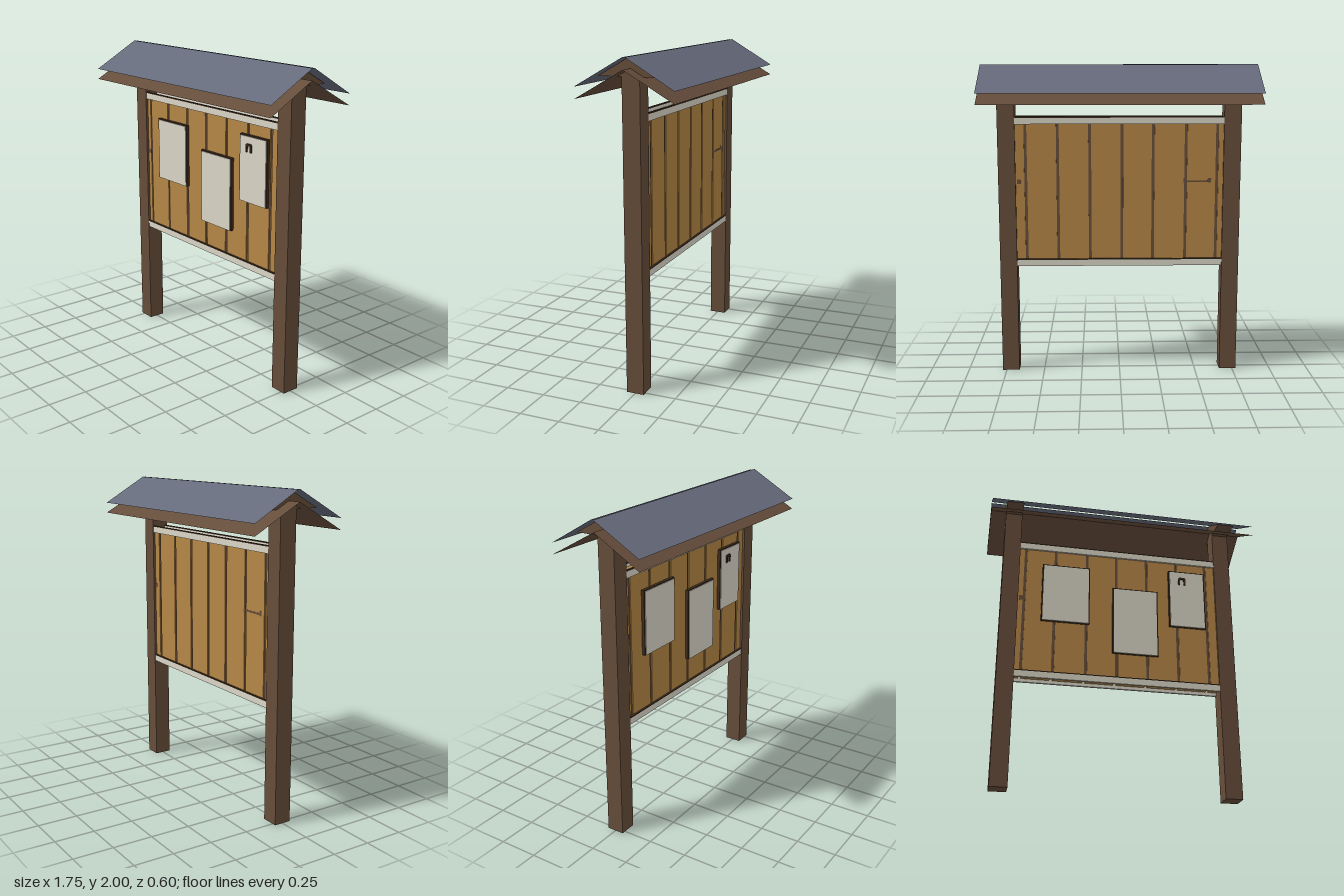
import * as THREE from 'three';

const mat = (name, color, side = THREE.FrontSide) => {
  const m = new THREE.MeshStandardMaterial({ color, side });
  m.name = name;
  return m;
};

export function createModel() {
  const timber = mat('brown timber', 0x664d3a);
  const sheet = mat('brown roof lining', 0x664d3b, THREE.DoubleSide);
  const slate = mat('slate roofing', 0x666b7c, THREE.DoubleSide);
  const board = mat('ochre board', 0xb58645);
  const cream = mat('cream', 0xdad5c7);
  const dark = mat('dark edge', 0x3c2b1e);

  const model = new THREE.Group();
  model.name = 'noticeBoard';

  const add = (name, geometry, material) => {
    const mesh = new THREE.Mesh(geometry, material);
    mesh.name = name;
    model.add(mesh);
    return mesh;
  };
  // box given by its limits on each axis
  const box = (name, material, x0, x1, y0, y1, z0, z1) => {
    const mesh = add(name, new THREE.BoxGeometry(x1 - x0, y1 - y0, z1 - z0), material);
    mesh.position.set((x0 + x1) / 2, (y0 + y1) / 2, (z0 + z1) / 2);
    return mesh;
  };

  // posts, each carrying a triangular gable block
  const gable = new THREE.Shape([
    new THREE.Vector2(-0.2, 1.885), new THREE.Vector2(0.2, 1.885), new THREE.Vector2(0, 1.998),
  ]);
  for (const s of [-1, 1]) {
    box('post', timber, s * 0.72 - 0.055, s * 0.72 + 0.055, 0, 1.885, -0.055, 0.055);
    const block = add('gableBlock', new THREE.ExtrudeGeometry(gable, { depth: 0.11, bevelEnabled: false }), timber);
    block.rotation.y = Math.PI / 2;
    block.position.x = s * 0.72 - 0.055;
  }

  // roof: open sheets, an upper covering and a lower lining on both slopes
  const slope = (name, material, z0, y0, z1, y1) => {
    const g = new THREE.PlaneGeometry(1.75, 1);
    const p = g.attributes.position;
    for (let i = 0; i < p.count; i++) {
      const top = p.getY(i) > 0;
      p.setXYZ(i, p.getX(i) * Math.sign(z1), top ? y0 : y1, top ? z0 : z1);
    }
    g.computeVertexNormals();
    add(name, g, material);
  };
  slope('frontRoof', slate, 0, 2, 0.3, 1.83);
  slope('backRoof', slate, -0.014, 2, -0.303, 1.83);
  slope('frontLining', sheet, 0, 1.932, 0.3, 1.762);
  slope('backLining', sheet, -0.0001, 1.932, -0.303, 1.762);

  // panel: a dark core with planks on it, leaving narrow grooves
  box('panelCore', timber, -0.67, 0.67, 0.74, 1.64, -0.034, 0.034);
  const joints = [-0.685, -0.625, -0.425, -0.215, -0.015, 0.19, 0.395, 0.6, 0.685];
  for (let i = 0; i < joints.length - 1; i++) {
    box('plank', board, joints[i] + 0.009, joints[i + 1] - 0.009, 0.73, 1.65, -0.04, 0.04);
  }

  // horizontal rails on both faces
  for (const y of [0.728, 1.648]) {
    for (const z of [-0.045, 0.045]) {
      box('rail', cream, -0.67, 0.67, y - 0.02, y + 0.02, z - 0.007, z + 0.007);
      box('railCap', dark, -0.67, 0.67, y + 0.02, y + 0.027, z - 0.007, z + 0.007);
    }
  }

  // knots and a split in the planks
  const knot = (x, y, z, w, h) => box('knot', timber, x - w / 2, x + w / 2, y - h / 2, y + h / 2, z - 0.001, z + 0.001);
  knot(-0.645, 1.265, 0.04, 0.025, 0.03);
  knot(0.645, 1.26, -0.04, 0.025, 0.03);
  knot(-0.5, 1.26, -0.04, 0.17, 0.012);
  knot(-0.42, 1.265, -0.04, 0.02, 0.03);
  knot(-0.58, 1.265, -0.04, 0.02, 0.03);

  // pinned sheets with dark edges
  for (const [x0, x1, y0, y1] of [
    [-0.512, -0.197, 1.108, 1.517],
    [-0.043, 0.26, 0.918, 1.388],
    [0.34, 0.588, 1.145, 1.56],
  ]) {
    box('noticeBacking', dark, x0, x1, y0, y1, 0.04, 0.06);
    box('notice', cream, x0 + 0.008, x1 - 0.008, y0, y1 - 0.008, 0.06, 0.064);
  }

  // small hook on one notice
  const hook = new THREE.Shape([
    [0.405, 1.458], [0.418, 1.458], [0.418, 1.496], [0.442, 1.496], [0.442, 1.458],
    [0.455, 1.458], [0.455, 1.503], [0.448, 1.51], [0.412, 1.51], [0.405, 1.503],
  ].map(([x, y]) => new THREE.Vector2(x, y)));
  add('hook', new THREE.ExtrudeGeometry(hook, { depth: 0.008, bevelEnabled: false }), dark).position.z = 0.064;

  return model;
}
